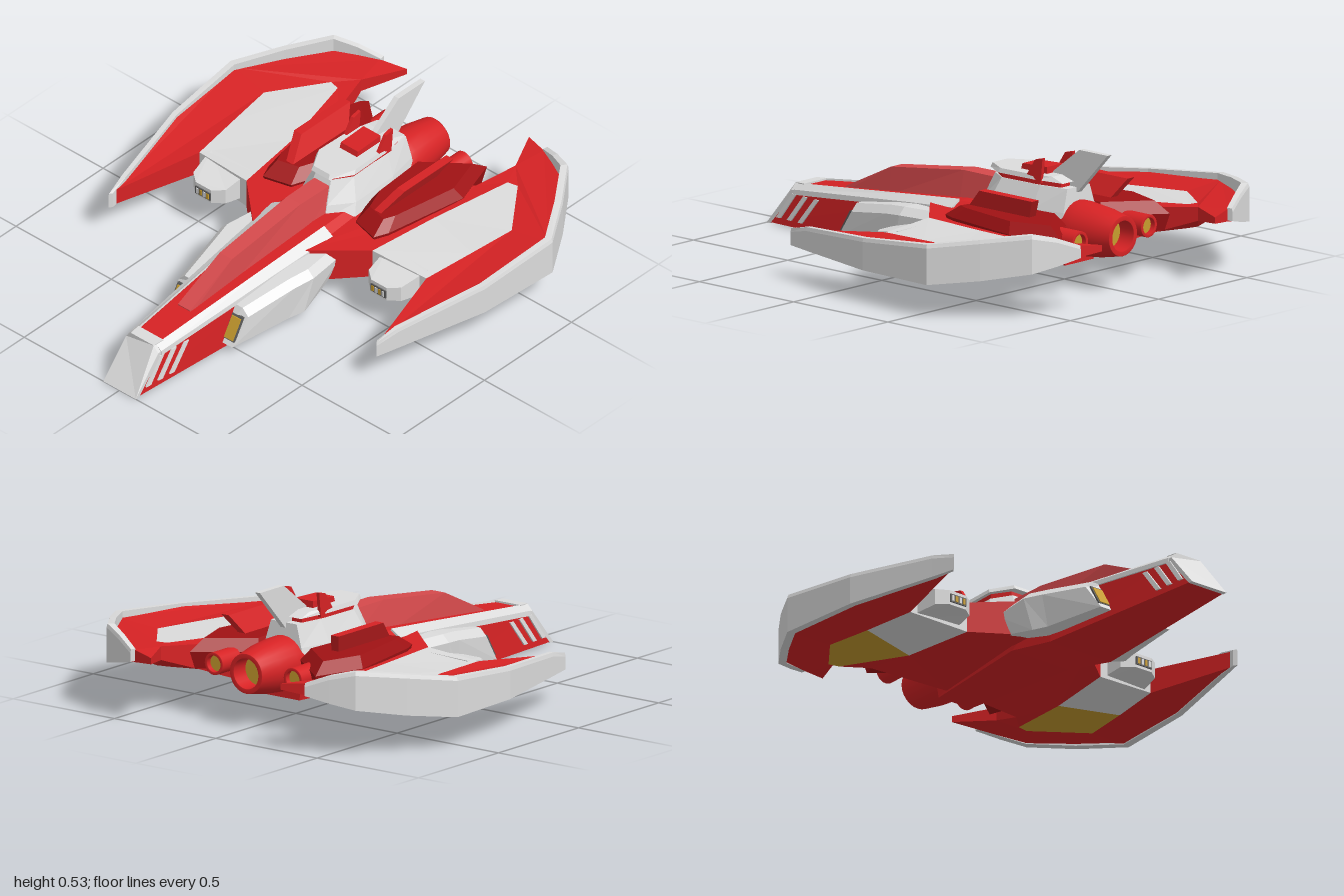
import * as THREE from 'three';

const paint = (name, color) => Object.assign(new THREE.MeshStandardMaterial({ color }), { name });
const red = paint('red', 0xd62224), darkRed = paint('dark red', 0xa01214), white = paint('white', 0xdcdcdc);
const gold = paint('gold', 0xc79c2e), glass = paint('canopy red', 0xd64a4c), grey = paint('dark grey', 0x5c5c5c);

// Closed faceted solid through rings of equal point count; material groups: first cap, walls, last cap
function solidGeometry(rings) {
  const n = rings[0].length, parts = [[], [], []];
  const cap = (ring) => {
    const normal = [0, 0, 0];
    ring.forEach((p, i) => {
      const q = ring[(i + 1) % n];
      for (let a = 0; a < 3; a++) {
        const b = (a + 1) % 3, c = (a + 2) % 3;
        normal[a] += p[b] * q[c] - p[c] * q[b];
      }
    });
    const mag = normal.map(Math.abs), k = mag.indexOf(Math.max(...mag));
    const u = (k + 1) % 3, v = (k + 2) % 3;
    const flat = ring.map((p) => new THREE.Vector2(p[u], p[v]));
    const sign = Math.sign(THREE.ShapeUtils.area(flat));
    return THREE.ShapeUtils.triangulateShape(flat.slice(), []).map(([a, b, c]) => {
      const area = THREE.ShapeUtils.area([flat[a], flat[b], flat[c]]);
      return (area * sign < 0 ? [a, c, b] : [a, b, c]).map((i) => ring[i]);
    });
  };
  parts[0] = cap(rings[0]).map(([a, b, c]) => [a, c, b]);
  parts[2] = cap(rings[rings.length - 1]);
  for (let r = 0; r + 1 < rings.length; r++) {
    for (let i = 0; i < n; i++) {
      const j = (i + 1) % n, lo = rings[r], hi = rings[r + 1];
      parts[1].push([lo[i], lo[j], hi[j]], [lo[i], hi[j], hi[i]]);
    }
  }
  // Turn every face outward, whichever way the rings run
  let volume = 0;
  const va = new THREE.Vector3(), vb = new THREE.Vector3(), vc = new THREE.Vector3();
  parts.flat().forEach(([a, b, c]) => {
    volume += va.fromArray(a).dot(vb.fromArray(b).cross(vc.fromArray(c)));
  });
  const g = new THREE.BufferGeometry(), pos = [];
  parts.forEach((tris, m) => {
    g.addGroup(pos.length / 3, tris.length * 3, m);
    tris.forEach(([a, b, c]) => pos.push(...a, ...(volume < 0 ? c : b), ...(volume < 0 ? b : c)));
  });
  g.setAttribute('position', new THREE.Float32BufferAttribute(pos, 3));
  g.computeVertexNormals();
  return g;
}

export function createModel() {
  const model = new THREE.Group();
  model.name = 'starship';
  const add = (name, geometry, material) => {
    const mesh = new THREE.Mesh(geometry, material);
    mesh.name = name;
    model.add(mesh);
    return mesh;
  };
  const solid = (name, material, rings, s = 1) =>
    add(name, solidGeometry(rings.map((r) => r.map(([x, y, z]) => [x * s, y, z]))), material);
  const box = (name, material, w, h, d, x, y, z) =>
    add(name, new THREE.BoxGeometry(w, h, d), material).position.set(x, y, z);
  // Slab from outline points [x, z, top, bottom]
  const slab = (name, material, pts, s = 1) =>
    solid(name, material, [pts.map(([x, z, , b]) => [x, b, z]), pts.map(([x, z, t]) => [x, t, z])], s);
  // Plate seen from the side: outline [z, y], between two x values
  const sidePlate = (name, material, pts, x0, x1, s = 1) =>
    solid(name, material, [x0, x1].map((x) => pts.map(([z, y]) => [x, y, z])), s);
  const mirrorRing = (half) => [...half, ...half.map(([x, y, z]) => [-x, y, z]).reverse()];

  // Hull stations: bottom z, top z, then half width and height of bottom, shoulder and deck
  const stations = [
    [0.985, 0.855, 0.083, 0.003, 0.082, 0.145, 0.055, 0.168],
    [0.2, 0.2, 0.15, 0.015, 0.135, 0.21, 0.095, 0.235],
    [-0.05, -0.05, 0.14, 0.07, 0.155, 0.232, 0.11, 0.26],
    [-0.58, -0.58, 0.08, 0.08, 0.11, 0.24, 0.09, 0.26],
  ];
  const hullRing = ([zb, zt, wb, yb, ws, ys, wt, yt]) => mirrorRing([[wb, yb, zb], [ws, ys, zt], [wt, yt, zt]]);
  solid('hull', red, stations.map(hullRing));
  solid('noseCap', white, [
    hullRing([1, 0.87, 0.085, 0, 0.084, 0.15, 0.06, 0.175]),
    hullRing([0.98, 0.845, 0.085, 0, 0.084, 0.15, 0.06, 0.175]),
  ]);
  slab('noseTopPlate', white, [[0.06, 0.87, 0.176, 0.16], [0.065, 0.82, 0.179, 0.16], [-0.065, 0.82, 0.179, 0.16], [-0.06, 0.87, 0.176, 0.16]]);

  // Canopy spine
  const canopyRing = (z, w, y, wt, yt) => mirrorRing([[w, y, z], [wt, yt, z]]);
  solid('canopy', glass, [
    canopyRing(0.63, 0.036, 0.175, 0.032, 0.195), canopyRing(0.39, 0.042, 0.2, 0.032, 0.31),
    canopyRing(0, 0.06, 0.23, 0.036, 0.36), canopyRing(-0.22, 0.065, 0.25, 0.04, 0.36),
  ]);

  // Bridge tower, stacked upward
  const towerRing = (y, k, zf, zm, zr, ze) =>
    mirrorRing([[0.45 * k, zf], [k, zm], [0.95 * k, zr], [0.72 * k, ze]].map(([x, z]) => [x, y, z]));
  solid('bridgeTower', white, [
    towerRing(0.24, 0.14, -0.11, -0.2, -0.42, -0.58),
    towerRing(0.29, 0.125, -0.13, -0.22, -0.44, -0.58),
    towerRing(0.38, 0.088, -0.17, -0.25, -0.45, -0.575),
  ]);
  solid('bridgeBand', red, [towerRing(0.38, 0.085, -0.18, -0.25, -0.43, -0.54), towerRing(0.403, 0.085, -0.18, -0.25, -0.43, -0.54)]);
  solid('bridgeRoof', white, [towerRing(0.4, 0.1, -0.15, -0.24, -0.42, -0.56), towerRing(0.418, 0.095, -0.16, -0.25, -0.42, -0.5)]);
  sidePlate('roofSensor', red, [[-0.31, 0.41], [-0.32, 0.44], [-0.45, 0.445], [-0.45, 0.41]], -0.045, 0.045);
  sidePlate('tailFin', white, [[-0.42, 0.4], [-0.59, 0.53], [-0.74, 0.53], [-0.58, 0.36]], -0.012, 0.012);

  // Engine nozzles, hollow at the back
  const nozzle = (name, material, pts, x, y, z, discR, discZ) => {
    const g = new THREE.LatheGeometry(pts.map(([r, h]) => new THREE.Vector2(r, h)), 24);
    add(name, g.rotateX(-Math.PI / 2), material).position.set(x, y, z);
    add(name + 'Glow', new THREE.CircleGeometry(discR, 24).rotateY(Math.PI), gold).position.set(x, y, z - discZ);
  };
  nozzle('mainEngine', red, [[0.09, 0], [0.108, 0.05], [0.108, 0.12], [0.098, 0.22], [0.08, 0.31], [0.079, 0.312],
    [0.062, 0.312], [0.061, 0.31], [0.058, 0.2]], 0, 0.22, -0.5, 0.06, 0.24);

  for (const s of [1, -1]) {
    // Pale hull edge strip
    solid('hullStrip', white, stations.slice(0, 3).map(([, z, , , ws, ys, wt, yt]) => [
      [ws - 0.01, ys - 0.015, z], [ws + 0.006, ys - 0.012, z], [ws + 0.004, ys + 0.008, z],
      [wt + 0.004, yt + 0.007, z], [wt, yt - 0.012, z]]), s);
    // Slanted vents on the nose flank
    for (let i = 0; i < 3; i++) {
      const low = 0.945 - i * 0.062, high = 0.865 - i * 0.065;
      const flank = (z, y, out) => [0.0835 + (0.985 - z) * 0.083 + (0.1 - y) * 0.02 - (y > 0.1 ? 0.008 : 0) + out, y, z];
      solid('noseVent', white, [-0.004, 0.004].map((o) => [flank(low, 0.03, o), flank(low - 0.024, 0.03, o),
        flank(high - 0.024, 0.135, o), flank(high, 0.135, o)]), s);
    }

    // Cheek pod with lamp
    const podRing = (zb, zt, x0, x1, y0, y1) => [[x0, y0, zb], [x1 - 0.012, y0, zb],
      [x1, y1 - 0.03, zt], [x1 - 0.03, y1, zt], [x0, y1, zt]];
    solid('cheekPod', white, [podRing(0.54, 0.46, 0.09, 0.182, 0.035, 0.175), podRing(0.26, 0.24, 0.1, 0.222, 0.04, 0.21),
      podRing(0.19, 0.15, 0.1, 0.242, 0.045, 0.22), podRing(0.04, -0.04, 0.1, 0.22, 0.09, 0.22),
      podRing(-0.08, -0.12, 0.1, 0.18, 0.11, 0.22)], s);
    const lamp = (x0, x1, y0, y1, out) => [[x0, y0], [x1, y0], [x1, y1], [x0, y1]]
      .map(([x, y]) => [x, y, 0.54 - (y - 0.035) * 0.6 + out]);
    solid('lampFrame', grey, [lamp(0.112, 0.172, 0.055, 0.145, 0.004), lamp(0.112, 0.172, 0.055, 0.145, -0.004)], s);
    solid('lamp', gold, [lamp(0.12, 0.166, 0.06, 0.138, 0.008), lamp(0.12, 0.166, 0.06, 0.138, 0)], s);

    // Wing: root, two-part panel and swept outer blade share their corners
    const rootFront = [0.12, 0.1, 0.235, 0.085], B = [0.33, -0.09, 0.235, 0.11], C = [0.595, -0.11, 0.225, 0.125];
    const D = [0.7, 0.27, 0.195, 0.13], E = [0.805, -0.2, 0.245, 0.13], F = [0.825, -0.56, 0.265, 0.135];
    const G = [0.6, -0.88, 0.285, 0.19], H = [0.43, -0.965, 0.28, 0.23], T = [0.32, -1, 0.27, 0.245];
    const I = [0.405, -0.83, 0.27, 0.215], J = [0.36, -0.65, 0.25, 0.15], K = [0.08, -0.52, 0.245, 0.085];
    const P1 = [0.65, -0.54, 0.245, 0.125], P2 = [0.49, -0.75, 0.26, 0.165], P3 = [0.445, -0.74, 0.26, 0.165];
    const P4 = [0.37, -0.4, 0.24, 0.11], Q = [0.625, -0.34, 0.236, 0.122];
    slab('wingRoot', red, [rootFront, B, P4, P3, J, K], s);
    slab('wingPanelFront', white, [B, C, Q, P4], s);
    slab('wingPanelRear', [gold, white, white], [P4, Q, P1, P2, P3], s);
    slab('wingBlade', red, [C, D, E, F, G, H, T, I, J, P3, P2, P1, Q], s);

    // Pale rim around the blade: outer x, z, inner x, z, top, bottom
    const rim = [
      [0.703, 0.295, 0.693, 0.28, 0.195, 0.128], [0.728, 0.19, 0.705, 0.19, 0.22, 0.127], [0.822, -0.2, 0.795, -0.2, 0.255, 0.127],
      [0.846, -0.56, 0.815, -0.55, 0.29, 0.13], [0.735, -0.74, 0.71, -0.72, 0.318, 0.155], [0.615, -0.905, 0.595, -0.88, 0.342, 0.188],
      [0.52, -0.95, 0.51, -0.925, 0.32, 0.21], [0.43, -0.99, 0.425, -0.965, 0.285, 0.235]];
    solid('wingRim', white, rim.map(([x, z, xi, zi, t, b]) => [[xi, b, zi], [x, b, z], [x, t - 0.015, z],
      [x * 0.85 + xi * 0.15, t, z * 0.85 + zi * 0.15], [xi, t, zi]]), s);

    // Wing gun housing with a small grille
    slab('gunHousing', white, [[0.36, -0.15, 0.235, 0.12], [0.375, -0.02, 0.205, 0.14], [0.42, 0.015, 0.2, 0.14],
      [0.5, 0.015, 0.2, 0.14], [0.545, -0.02, 0.205, 0.14], [0.57, -0.15, 0.23, 0.125]], s);
    box('gunGrille', grey, 0.078, 0.034, 0.008, s * 0.46, 0.168, 0.016);
    for (let i = 0; i < 4; i++) box('gunLight', i % 2 ? white : gold, 0.011, 0.024, 0.008, s * (0.433 + i * 0.018), 0.168, 0.019);

    // Dark engine pod on the wing root, bevelled at the top
    const outline = [[0.31, -0.77], [0.378, -0.56], [0.315, -0.2], [0.29, -0.14], [0.17, -0.17], [0.12, -0.3], [0.1, -0.6]];
    const inset = (k, y) => outline.map(([x, z]) => [0.24 + (x - 0.24) * k, y, -0.46 + (z + 0.46) * k]);
    solid('enginePod', darkRed, [inset(0.92, 0.18), inset(1, 0.25), inset(0.78, 0.295)], s);
    solid('podFin', red, [
      [[0.2, 0.27, -0.2], [0.235, 0.27, -0.2], [0.235, 0.27, -0.53], [0.2, 0.27, -0.53]],
      [[0.252, 0.372, -0.32], [0.29, 0.372, -0.32], [0.29, 0.372, -0.6], [0.252, 0.372, -0.6]]], s);
    nozzle('smallEngine', red, [[0.045, 0], [0.045, 0.155], [0.044, 0.157], [0.034, 0.157], [0.033, 0.155], [0.033, 0.12]],
      s * 0.195, 0.22, -0.61, 0.034, 0.135);

    // Antenna beside the bridge roof
    sidePlate('antenna', red, [[-0.37, 0.39], [-0.43, 0.48], [-0.47, 0.49], [-0.46, 0.39]], 0.078, 0.092, s);
  }
  return model;
}
